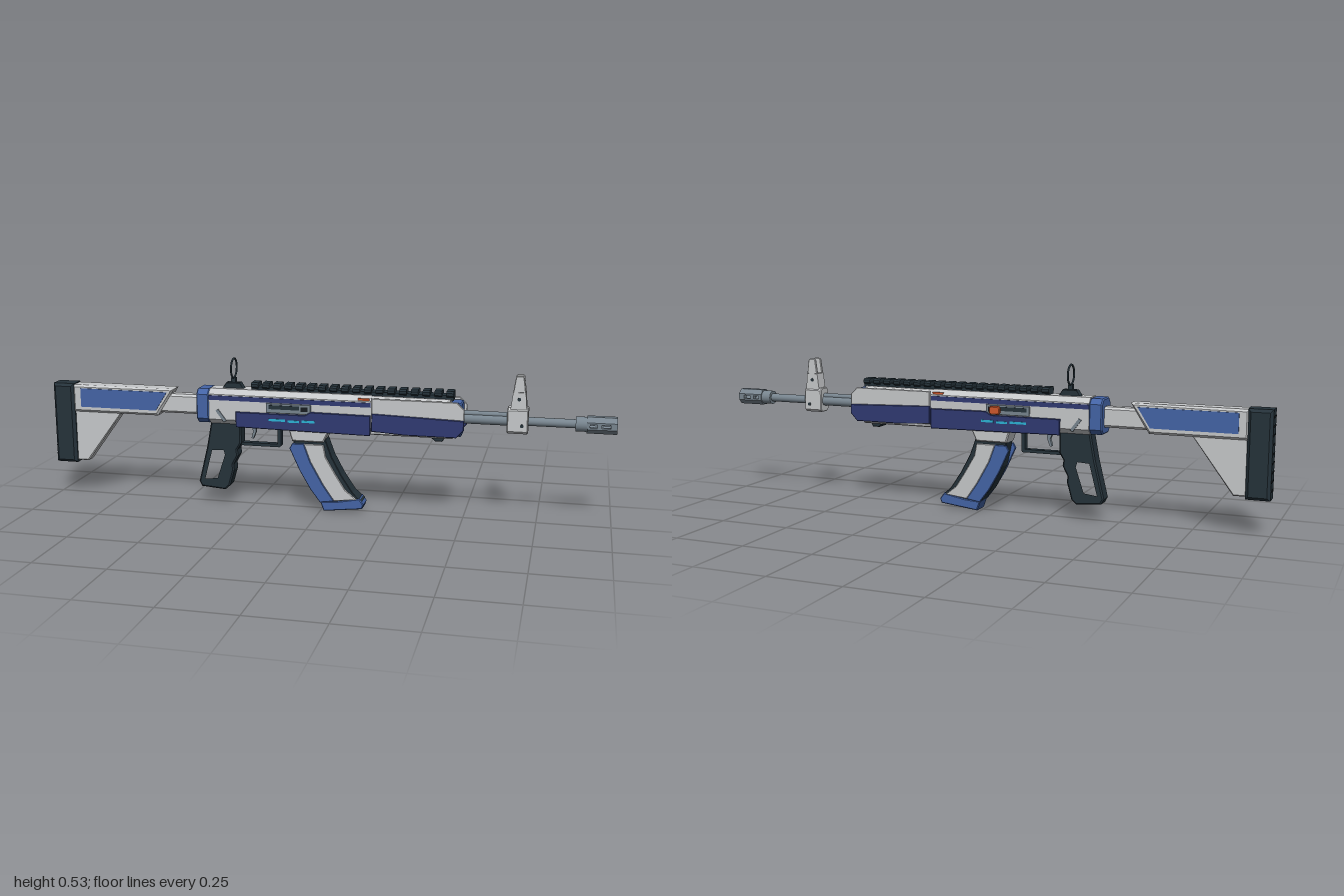
import * as THREE from 'three';

export function createModel() {
  const M = {};
  const colours = {
    lightGrey: 0xc6c8ca, slate: 0x25323a, steel: 0x78858f, blue: 0x4464a6,
    navy: 0x303a72, orange: 0xd0582c, cyan: 0x2cb4d6, black: 0x171c20,
  };
  for (const [name, color] of Object.entries(colours)) {
    M[name] = new THREE.MeshStandardMaterial({ color });
    M[name].name = name;
  }
  const root = new THREE.Group();
  root.name = 'model';
  const gun = new THREE.Group();
  gun.name = 'body';
  gun.position.z = 0.003;
  root.add(gun);

  const add = (name, geo, mat) => {
    const m = new THREE.Mesh(geo, mat);
    m.name = name;
    gun.add(m);
    return m;
  };
  const outline = (pts) => new THREE.Shape(pts.map((p) => new THREE.Vector2(p[0], p[1])));
  const extrude = (pts, depth, bevel, holes) => {
    const s = outline(pts);
    holes.forEach((h) => s.holes.push(outline(h)));
    const g = new THREE.ExtrudeGeometry(s, {
      depth: depth - 2 * bevel, bevelEnabled: bevel > 0, bevelSize: bevel,
      bevelThickness: bevel, bevelOffset: -bevel, bevelSegments: 1, curveSegments: 8,
    });
    return g.translate(0, 0, bevel);
  };
  // side outline (x, y) extruded across z
  const plate = (name, pts, z0, z1, mat, bevel = 0, ...holes) =>
    add(name, extrude(pts, z1 - z0, bevel, holes).translate(0, 0, z0), mat);
  // the same plate on both sides
  const pair = (name, pts, z0, z1, mat, bevel = 0) => {
    plate(name + 'Left', pts, z0, z1, mat, bevel);
    plate(name + 'Right', pts, -z1, -z0, mat, bevel);
  };
  // cross-section (z, y) extruded along x
  const prism = (name, pts, x0, x1, mat, bevel = 0) =>
    add(name, extrude(pts, x1 - x0, bevel, []).rotateY(Math.PI / 2).translate(x0, 0, 0), mat);
  const rect = (x0, x1, y0, y1) => [[x0, y0], [x1, y0], [x1, y1], [x0, y1]];
  const octagon = (w, y0, y1, c) => [[-w + c, y0], [w - c, y0], [w, y0 + c], [w, y1 - c],
    [w - c, y1], [-w + c, y1], [-w, y1 - c], [-w, y0 + c]];
  const tube = (name, x0, x1, y, r, mat, sides = 20) =>
    add(name, new THREE.CylinderGeometry(r, r, x1 - x0, sides).rotateZ(Math.PI / 2)
      .translate((x0 + x1) / 2, y, 0), mat);

  // shoulder stock
  plate('buttPad', rect(-1, -0.92, 0.123, 0.418), -0.037, 0.037, M.slate, 0.01);
  for (let i = 0; i < 9; i++) {
    const y = 0.15 + i * 0.03;
    plate('padGroove', rect(-1.001, -0.995, y, y + 0.006), -0.026, 0.026, M.black);
  }
  plate('stockBody', [[-0.925, 0.315], [-0.6, 0.315], [-0.537, 0.415], [-0.925, 0.415]],
    -0.032, 0.032, M.lightGrey, 0.008);
  pair('stockPanel', [[-0.893, 0.335], [-0.605, 0.335], [-0.562, 0.403], [-0.893, 0.403]],
    0.031, 0.035, M.blue);
  plate('stockStrut', [[-0.925, 0.13], [-0.88, 0.13], [-0.74, 0.32], [-0.925, 0.32]],
    -0.022, 0.022, M.lightGrey, 0.004, [[-0.892, 0.205], [-0.805, 0.314], [-0.892, 0.314]]);
  prism('stockNeck', octagon(0.023, 0.326, 0.396, 0.008), -0.62, -0.43, M.lightGrey);

  // receiver
  prism('receiverEnd', octagon(0.05, 0.302, 0.424, 0.018), -0.446, -0.4, M.blue, 0.004);
  prism('receiver', octagon(0.047, 0.3, 0.426, 0.018), -0.4, 0.18, M.lightGrey);
  pair('receiverStripe', rect(-0.4, 0.18, 0.388, 0.404), 0.046, 0.05, M.navy);
  pair('receiverPanel', [[-0.3, 0.295], [0.18, 0.289], [0.18, 0.36], [-0.03, 0.362],
    [-0.05, 0.35], [-0.3, 0.35]], 0.046, 0.055, M.navy, 0.002);
  pair('portFrame', rect(-0.19, -0.03, 0.352, 0.386), 0.046, 0.052, M.steel, 0.001);
  pair('portOpening', rect(-0.18, -0.07, 0.366, 0.38), 0.051, 0.054, M.slate);
  pair('portBolt', rect(-0.065, -0.04, 0.362, 0.378), 0.051, 0.054, M.black);
  [[-0.18, -0.12, 0.324], [-0.11, -0.07, 0.322], [-0.06, -0.015, 0.324]].forEach(([a, b, y]) =>
    pair('glowLine', rect(a, b, y, y + 0.008), 0.054, 0.057, M.cyan));
  pair('selector', [[-0.375, 0.35], [-0.365, 0.355], [-0.335, 0.315], [-0.345, 0.31]],
    0.046, 0.051, M.steel);
  pair('orangeMark', rect(0.135, 0.175, 0.409, 0.417), 0.033, 0.045, M.orange);
  plate('chargingKnob', octagon(0.02, 0.353, 0.382, 0.006).map(([x, y]) => [x - 0.065, y]),
    -0.064, -0.045, M.orange, 0.003);

  // handguard: grey core, blue nose, side shells
  prism('handguardCore', octagon(0.046, 0.298, 0.424, 0.018), 0.18, 0.45, M.lightGrey);
  prism('handguardNose', octagon(0.047, 0.298, 0.414, 0.018), 0.45, 0.49, M.blue, 0.004);
  pair('upperShell', [[0.184, 0.366], [0.5, 0.357], [0.5, 0.395], [0.475, 0.42], [0.184, 0.42]],
    0.044, 0.052, M.lightGrey, 0.002);
  pair('lowerShell', [[0.184, 0.305], [0.3, 0.298], [0.475, 0.298], [0.5, 0.325], [0.5, 0.358],
    [0.184, 0.368]], 0.044, 0.055, M.navy, 0.002);
  plate('underChannel', rect(0.02, 0.46, 0.288, 0.302), -0.03, 0.03, M.lightGrey, 0.004);
  plate('underStop', [[0.385, 0.29], [0.4, 0.276], [0.425, 0.276], [0.44, 0.3], [0.385, 0.3]],
    -0.026, 0.026, M.slate, 0.002);

  // top rail
  plate('railBase', rect(-0.25, 0.46, 0.42, 0.437), -0.022, 0.022, M.slate);
  for (let i = 0; i < 18; i++) {
    const x = -0.25 + i * 0.0403;
    prism('railTooth', octagon(0.027, 0.43, 0.451, 0.006), x, x + 0.025, M.slate);
  }

  // rear ring sight
  plate('rearSightBase', [[-0.36, 0.424], [-0.28, 0.424], [-0.295, 0.446], [-0.345, 0.446]],
    -0.013, 0.013, M.slate, 0.002);
  plate('rearSightPost', rect(-0.328, -0.312, 0.44, 0.463), -0.008, 0.008, M.slate);
  add('rearSightRing', new THREE.TorusGeometry(0.034, 0.0035, 8, 36).rotateY(Math.PI / 2)
    .translate(-0.32, 0.496, 0), M.slate);

  // barrel and muzzle
  const axis = 0.357;
  tube('innerBarrel', 0.48, 0.66, axis, 0.018, M.steel);
  tube('gasTube', 0.48, 0.66, axis + 0.018, 0.01, M.steel, 12);
  tube('barrel', 0.66, 0.87, axis, 0.015, M.steel);
  tube('muzzleCollar', 0.865, 0.902, axis, 0.025, M.steel);
  const ring = (x0, x1) => {
    const s = outline(octagon(0.028, axis - 0.028, axis + 0.028, 0.0164));
    s.holes.push(new THREE.Path().absarc(0, axis, 0.013, 0, Math.PI * 2, true));
    add('muzzleRing', new THREE.ExtrudeGeometry(s, { depth: x1 - x0, bevelEnabled: false })
      .rotateY(Math.PI / 2).translate(x0, 0, 0), M.steel);
  };
  [[0.902, 0.912], [0.935, 0.95], [0.978, 1]].forEach(([a, b]) => ring(a, b));
  const half = [[0.028, 0.006], [0.028, 0.0116], [0.0116, 0.028], [-0.0116, 0.028],
    [-0.028, 0.0116], [-0.028, 0.006], [-0.0115, 0.006], [-0.006, 0.0115], [0.006, 0.0115],
    [0.0115, 0.006]];
  [[0.912, 0.935], [0.95, 0.978]].forEach(([a, b]) => [1, -1].forEach((s) =>
    prism('muzzleBar', half.map(([z, y]) => [z, axis + s * y]), a, b, M.steel)));

  // front sight
  prism('frontSightBlock', octagon(0.027, 0.316, 0.405, 0.009), 0.64, 0.71, M.lightGrey, 0.003);
  plate('frontSightTower', [[0.65, 0.4], [0.704, 0.4], [0.699, 0.458], [0.657, 0.458]],
    -0.023, 0.023, M.lightGrey);
  pair('frontSightProng', [[0.657, 0.457], [0.699, 0.457], [0.692, 0.508], [0.687, 0.513],
    [0.669, 0.513], [0.664, 0.508]], 0.013, 0.023, M.lightGrey, 0.002);
  add('frontSightPin', new THREE.CylinderGeometry(0.002, 0.005, 0.042, 8)
    .translate(0.678, 0.477, 0), M.steel);
  [[0.678, 0.435, 0.023], [0.69, 0.345, 0.027]].forEach(([x, y, z]) => [1, -1].forEach((s) =>
    add('sightPin', new THREE.CylinderGeometry(0.006, 0.006, 0.004, 12).rotateX(Math.PI / 2)
      .translate(x, y, s * z), M.slate)));

  // open grip with finger notches
  plate('grip', [[-0.4, 0.305], [-0.29, 0.305], [-0.29, 0.23], [-0.305, 0.205], [-0.302, 0.185],
    [-0.32, 0.15], [-0.318, 0.13], [-0.335, 0.07], [-0.352, 0.055], [-0.44, 0.062], [-0.45, 0.08],
    [-0.418, 0.21]], -0.028, 0.028, M.slate, 0.005,
  [[-0.402, 0.205], [-0.352, 0.208], [-0.345, 0.185], [-0.376, 0.092], [-0.432, 0.086]]);

  // trigger and guard
  plate('triggerGuard', [[-0.3, 0.22], [-0.152, 0.22], [-0.147, 0.225], [-0.147, 0.3],
    [-0.16, 0.3], [-0.16, 0.231], [-0.3, 0.231]], -0.013, 0.013, M.slate);
  plate('trigger', [[-0.262, 0.3], [-0.238, 0.3], [-0.24, 0.27], [-0.25, 0.245], [-0.257, 0.247],
    [-0.25, 0.272]], -0.007, 0.007, M.steel);

  // magazine
  plate('magazineWell', [[-0.115, 0.302], [0.035, 0.302], [0.012, 0.252], [-0.1, 0.252]],
    -0.039, 0.039, M.lightGrey, 0.004);
  plate('magazineCore', [[-0.1, 0.26], [0.018, 0.26], [0.04, 0.2], [0.075, 0.135], [0.115, 0.075],
    [0.15, 0.045], [0.005, 0.03], [-0.04, 0.085], [-0.08, 0.165]], -0.03, 0.03, M.slate, 0.002);
  pair('magazineRearPanel', [[-0.11, 0.225], [-0.1, 0.243], [-0.058, 0.243], [-0.035, 0.18],
    [0.01, 0.1], [0.05, 0.042], [0, 0.034], [-0.035, 0.08], [-0.073, 0.145]],
  0.029, 0.038, M.blue, 0.002);
  pair('magazineFrontPanel', [[-0.058, 0.243], [0.012, 0.243], [0.02, 0.2], [0.055, 0.14],
    [0.09, 0.085], [0.13, 0.052], [0.05, 0.042], [0.01, 0.1], [-0.035, 0.18]],
  0.029, 0.037, M.lightGrey, 0.002);
  plate('magazineBase', [[0, 0.035], [0.012, 0.002], [0.15, 0.018], [0.155, 0.034],
    [0.14, 0.055], [0.06, 0.04]], -0.033, 0.033, M.blue, 0.003);

  root.updateMatrixWorld(true);
  const low = new THREE.Box3().setFromObject(root).min.y;
  gun.position.y = -low;
  return root;
}
